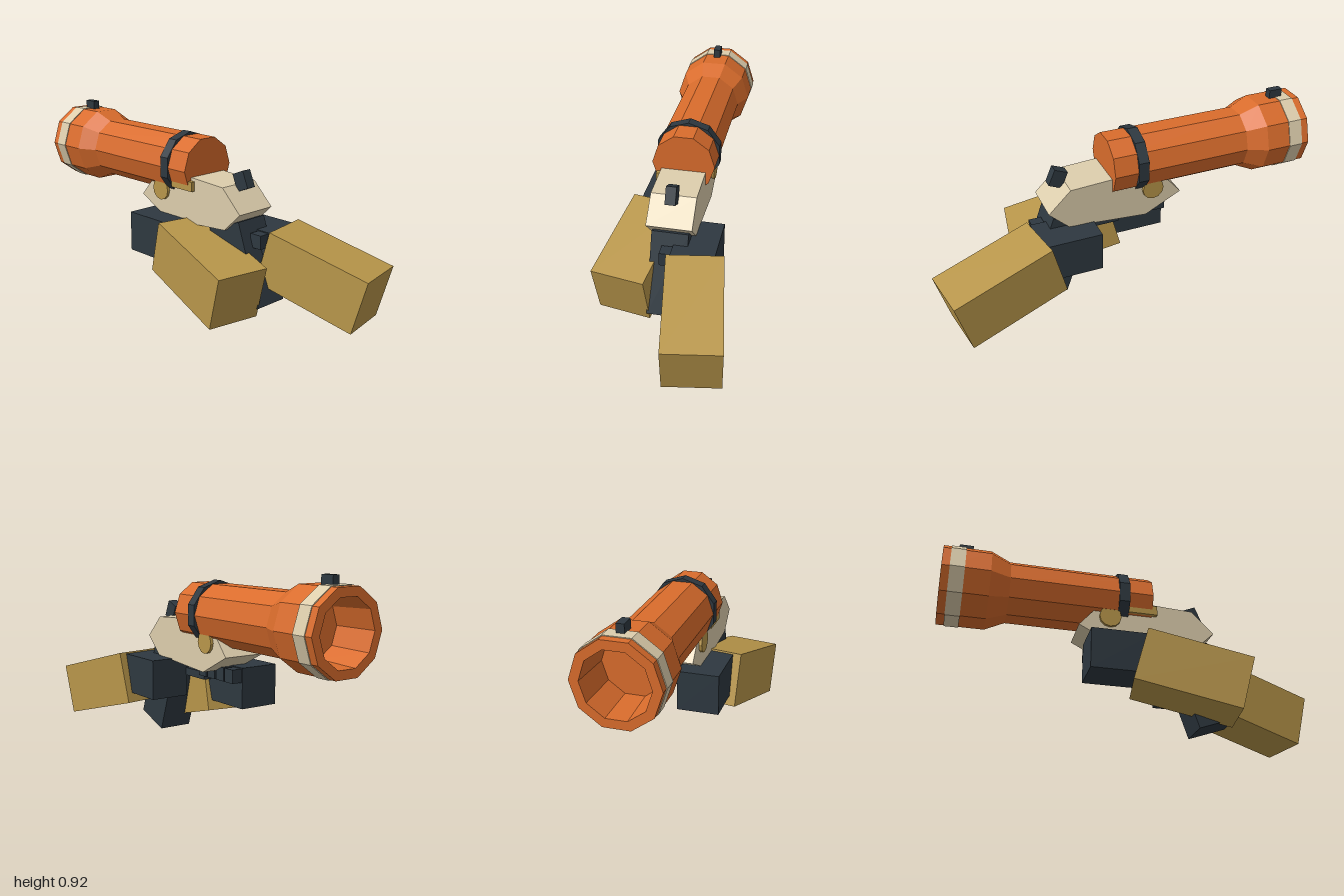
import * as THREE from 'three';

const mat = (name, color) => {
  const m = new THREE.MeshStandardMaterial({ color, flatShading: true });
  m.name = name;
  return m;
};

export function createModel() {
  const orange = mat('orange', 0xd96c2c);
  const cream = mat('cream', 0xdccdac);
  const gold = mat('gold', 0xb8964a);
  const dark = mat('dark slate', 0x2e3840);
  const root = new THREE.Group();
  root.name = 'blunderbuss';

  const add = (name, geometry, material, pos = [0, 0, 0], parent = root) => {
    const mesh = new THREE.Mesh(geometry, material);
    mesh.name = name;
    mesh.position.set(...pos);
    parent.add(mesh);
    return mesh;
  };
  const box = (name, size, material, pos, parent) =>
    add(name, new THREE.BoxGeometry(...size), material, pos, parent);
  // Ten-sided lathe along z, profile given as [radius, z]
  const turned = (name, profile, material, phi) => {
    const pts = profile.map(([r, z]) => new THREE.Vector2(r, z));
    const geo = new THREE.LatheGeometry(pts, 10, phi).rotateX(Math.PI / 2);
    return add(name, geo, material, [0, 0.685, 0]);
  };

  // Flared barrel with a hollow muzzle
  turned('barrel', [
    [0, -0.78], [0.15, -0.78], [0.16, -1], [0.205, -1], [0.205, -0.76],
    [0.16, -0.66], [0.16, 0.08], [0, 0.08],
  ], orange, Math.PI / 2);
  turned('muzzleBand', [
    [0.2, -0.96], [0.209, -0.96], [0.209, -0.887], [0.2, -0.887],
  ], cream, Math.PI / 2);
  turned('barrelStrap', [
    [0.15, -0.1], [0.17, -0.1], [0.17, -0.045], [0.15, -0.045],
  ], dark, 0);
  box('frontSight', [0.037, 0.07, 0.072], dark, [0, 0.89, -0.887]);

  // Stock body: side outline as [z, y], extruded across x
  const outline = [
    [0.417, 0.525], [0.315, 0.428], [-0.107, 0.396], [-0.3, 0.495],
    [-0.225, 0.582], [-0.17, 0.63], [0.075, 0.652], [0.3, 0.64],
  ].map(([z, y]) => new THREE.Vector2(z, y));
  const stock = new THREE.ExtrudeGeometry(new THREE.Shape(outline), {
    depth: 0.228, bevelEnabled: false,
  });
  stock.translate(0, 0, -0.114).rotateY(-Math.PI / 2);
  add('stock', stock, cream);

  // Pivot pin, lock piece and hammer
  const pin = new THREE.CylinderGeometry(0.057, 0.057, 0.258, 12).rotateZ(Math.PI / 2);
  add('pivotPin', pin, gold, [0, 0.553, -0.14]);
  box('lockPiece', [0.03, 0.05, 0.15], gold, [-0.122, 0.61, 0.03]);
  box('hammer', [0.052, 0.09, 0.073], dark, [0, 0.663, 0.333]).rotation.x = -0.4;

  // Grip and trigger guard
  box('grip', [0.184, 0.43, 0.21], dark, [0, 0.243, 0.36]).rotation.x = -0.336;
  box('triggerGuard', [0.05, 0.04, 0.2], dark, [0, 0.348, 0.11]);

  // Arms: sleeve, gloved hand and four fingers reaching across the gun
  for (const [name, side, z] of [['leftArm', 1, 0], ['rightArm', -1, -0.44]]) {
    const arm = new THREE.Group();
    arm.name = name;
    arm.position.z = z;
    root.add(arm);
    const sleeve = box('sleeve', [0.279, 0.279, 0.54], gold, [side * 0.18, 0.23, 0.702], arm);
    sleeve.rotation.set(0.258, side * 0.17, 0, 'YXZ');
    box('hand', [0.215, 0.21, 0.31], dark, [side * 0.1275, 0.32, 0.336], arm);
    for (let i = 0; i < 4; i++) {
      box('finger', [0.075, 0.07, 0.066], dark, [side * 0.0025, 0.385, 0.222 + i * 0.076], arm);
    }
  }
  return root;
}
